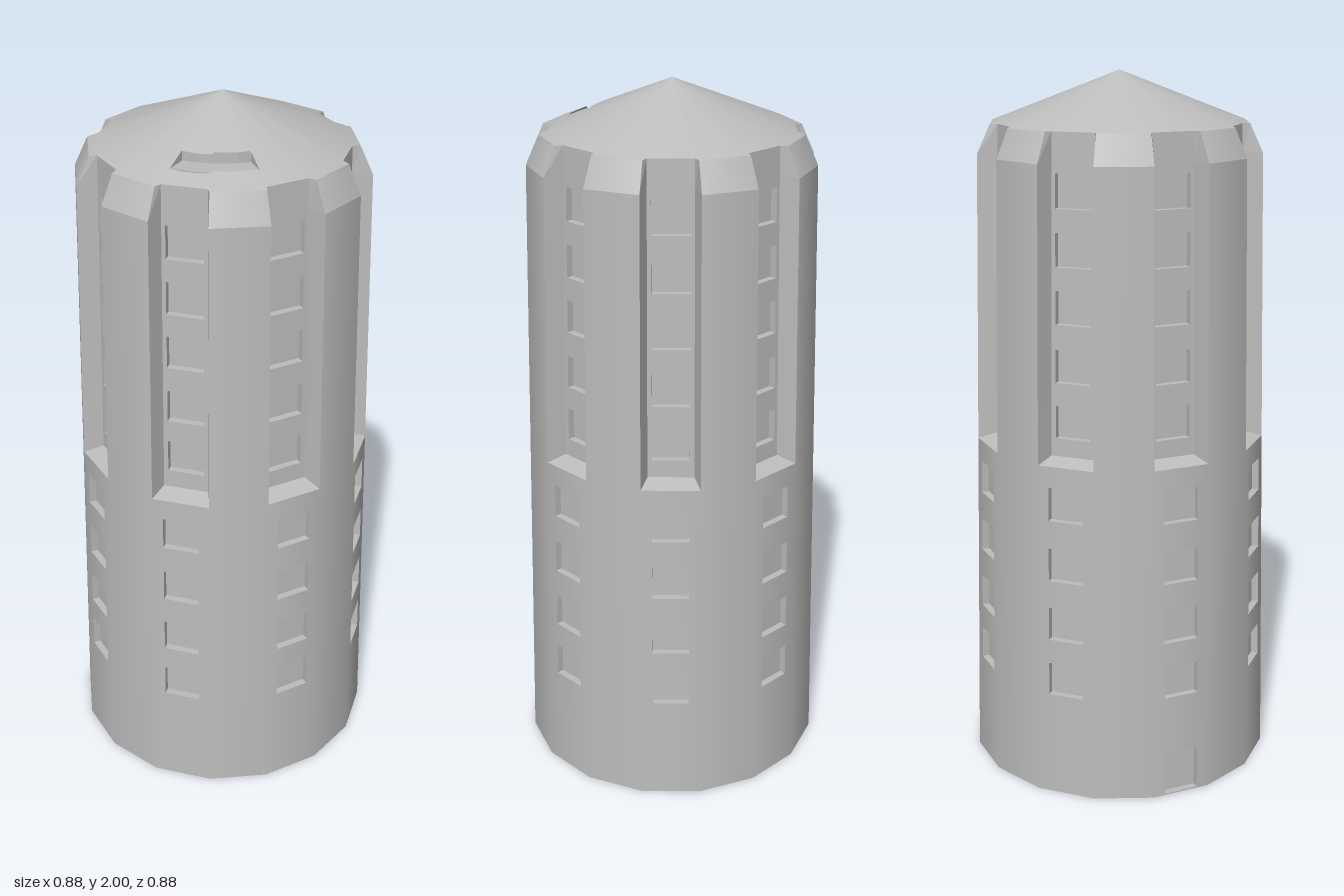
import * as THREE from 'three';

const SIDES = 16, STEP = Math.PI * 2 / SIDES, START = THREE.MathUtils.degToRad(1.3);
const SILL = 0.97, KNEE = 1.78, EAVE = 1.86, APEX = 2, EAVE_R = 0.363;
const WINDOW_HALF = 0.051, WINDOW_DEPTH = 0.02;
const lerp = THREE.MathUtils.lerp;

const polar = (a, r, y) => new THREE.Vector3(Math.sin(a) * r, y, Math.cos(a) * r);
// Point on a flat side: distance d from the axis, shifted u sideways
const onSide = (a, d, u, y) => new THREE.Vector3(
  Math.sin(a) * d + Math.cos(a) * u, y, Math.cos(a) * d - Math.sin(a) * u);

// Corner radius of the tower shaft, tapering, then chamfered to the eave
const radius = y => y <= KNEE ? lerp(0.438, 0.4, y / KNEE)
  : lerp(0.4, EAVE_R, (y - KNEE) / (EAVE - KNEE));
const shaft = {
  d: y => radius(y) * Math.cos(STEP / 2),
  half: y => radius(y) * Math.sin(STEP / 2),
};
// Back wall of a tall recessed bay
const bayT = y => (y - SILL) / (EAVE - SILL);
const bay = { d: y => lerp(0.356, 0.337, bayT(y)), half: y => lerp(0.064, 0.061, bayT(y)) };

// Collects quads; rise given = smooth radial normals tilted up, otherwise flat
class Surface {
  constructor() { this.pos = []; this.nor = []; }
  tri(a, b, c, rise) {
    const flat = b.clone().sub(a).cross(c.clone().sub(a));
    if (flat.length() < 1e-10) return;
    flat.normalize();
    const mid = Math.atan2(a.x + b.x + c.x, a.z + b.z + c.z);
    for (const p of [a, b, c]) {
      this.pos.push(p.x, p.y, p.z);
      let n = flat;
      if (rise !== undefined) {
        const t = Math.hypot(p.x, p.z) < 1e-6 ? mid : Math.atan2(p.x, p.z);
        n = polar(t, 1, rise).normalize();
      }
      this.nor.push(n.x, n.y, n.z);
    }
  }
  quad(a, b, c, d, rise) { this.tri(a, b, c, rise); this.tri(a, c, d, rise); }
  mesh(name, material) {
    const g = new THREE.BufferGeometry();
    g.setAttribute('position', new THREE.Float32BufferAttribute(this.pos, 3));
    g.setAttribute('normal', new THREE.Float32BufferAttribute(this.nor, 3));
    const m = new THREE.Mesh(g, material);
    m.name = name;
    return m;
  }
}

// Wall strip with a column of openings, each leading to a shallow recess
function windowedWall(wall, recess, a, form, y0, y1, openings, rise) {
  const P = (u, y, inset = 0) => onSide(a, form.d(y) - inset, u, y);
  const w = WINDOW_HALF;
  const strip = (lo, hi) => wall.quad(P(-w, lo), P(w, lo), P(w, hi), P(-w, hi), rise);
  wall.quad(P(-form.half(y0), y0), P(-w, y0), P(-w, y1), P(-form.half(y1), y1), rise);
  wall.quad(P(w, y0), P(form.half(y0), y0), P(form.half(y1), y1), P(w, y1), rise);
  let y = y0;
  for (const [lo, hi] of openings) {
    if (lo > y) strip(y, lo);
    const outer = [P(-w, lo), P(w, lo), P(w, hi), P(-w, hi)];
    const inner = [[-w, lo], [w, lo], [w, hi], [-w, hi]].map(([u, v]) => P(u, v, WINDOW_DEPTH));
    recess.quad(...inner);
    for (let i = 0; i < 4; i++) {
      const j = (i + 1) % 4;
      recess.quad(outer[i], outer[j], inner[j], inner[i]);
    }
    y = hi;
  }
  strip(y, y1);
}

// Conical roof with a curved, flat-floored slot cut into one flank
function buildRoof(roof, slot, rim) {
  const from = THREE.MathUtils.degToRad(-65.5), to = THREE.MathUtils.degToRad(-20);
  const inR = 0.226, outR = 0.29, rise = 2.5;
  const points = [];
  const nSlot = 10;
  const cuts = Array.from({ length: nSlot + 1 }, (_, i) => lerp(from, to, i / nSlot));
  rim.forEach((p, i) => {
    const q = rim[(i + 1) % rim.length];
    const a0 = Math.atan2(p.x, p.z), a1 = Math.atan2(q.x, q.z);
    points.push({ a: a0, r: Math.hypot(p.x, p.z) });
    for (const c of cuts) {
      if (c <= a0 + 1e-4 || c >= a1 - 1e-4) continue;
      // Where the ray at angle c meets the straight eave edge
      const s = Math.sin(c), k = Math.cos(c);
      const t = (p.x * k - p.z * s) / ((p.x - q.x) * k - (p.z - q.z) * s);
      points.push({ a: c, r: Math.hypot(lerp(p.x, q.x, t), lerp(p.z, q.z, t)) });
    }
  });
  points.sort((m, n) => m.a - n.a);
  const at = (p, r) => polar(p.a, r, APEX - (APEX - EAVE) * r / p.r);
  const floorY = APEX - (APEX - EAVE) * outR / 0.345;
  const floor = (p, r) => polar(p.a, r, floorY);
  const top = new THREE.Vector3(0, APEX, 0);
  points.forEach((p, i) => {
    const q = points[(i + 1) % points.length];
    if (p.a < from - 1e-4 || p.a > to - 1e-4) {
      roof.tri(at(p, p.r), at(q, q.r), top, rise);
      return;
    }
    roof.tri(at(p, inR), at(q, inR), top, rise);
    roof.quad(at(p, p.r), at(q, q.r), at(q, outR), at(p, outR), rise);
    slot.quad(floor(p, outR), floor(q, outR), floor(q, inR), floor(p, inR));
    slot.quad(floor(p, inR), floor(q, inR), at(q, inR), at(p, inR));
    if (Math.abs(p.a - from) < 1e-4)
      slot.quad(floor(p, outR), floor(p, inR), at(p, inR), at(p, outR));
    if (Math.abs(q.a - to) < 1e-4)
      slot.quad(floor(q, inR), floor(q, outR), at(q, outR), at(q, inR));
  });
}

export function createModel() {
  const group = new THREE.Group();
  const stone = new THREE.MeshStandardMaterial({ color: 0xbcbcbc });
  stone.name = 'grey stone';
  stone.side = THREE.DoubleSide;

  const [walls, chamfers, bays, jambs, windows, roof, slot, base] =
    Array.from({ length: 8 }, () => new Surface());
  const lower = [[0.3, 0.395], [0.465, 0.56], [0.64, 0.735], [0.815, 0.91]];
  const upper = [1.035, 1.19, 1.35, 1.505, 1.66].map(y => [y, y + 0.092]);
  const doorway = [0.004, 0.13];
  const rim = [];

  for (let i = 0; i < SIDES; i++) {
    const a0 = START + (i - 1) * STEP, a1 = a0 + STEP, a = a0 + STEP / 2;
    const L = y => polar(a0, radius(y), y), R = y => polar(a1, radius(y), y);
    base.tri(new THREE.Vector3(), R(0), L(0));

    if (i % 2) {
      // Plain pier with chamfered head
      walls.quad(L(0), R(0), R(SILL), L(SILL), 0.02);
      walls.quad(L(SILL), R(SILL), R(KNEE), L(KNEE), 0.02);
      chamfers.quad(L(KNEE), R(KNEE), R(EAVE), L(EAVE), 0.45);
      rim.push(L(EAVE), R(EAVE));
      continue;
    }
    // Lower windows, with one doorway at the back
    windowedWall(walls, windows, a, shaft, 0, SILL, i === 10 ? [doorway, ...lower] : lower, 0.02);
    // Recessed bay with upper windows
    const foot = SILL + 0.015;
    windowedWall(bays, windows, a, bay, foot, EAVE, upper);
    const l = y => onSide(a, bay.d(y), -bay.half(y), y);
    const r = y => onSide(a, bay.d(y), bay.half(y), y);
    jambs.quad(L(SILL), R(SILL), r(foot), l(foot));
    jambs.quad(L(SILL), l(foot), l(KNEE), L(KNEE));
    jambs.quad(L(KNEE), l(KNEE), l(EAVE), L(EAVE));
    jambs.quad(r(foot), R(SILL), R(KNEE), r(KNEE));
    jambs.quad(r(KNEE), R(KNEE), R(EAVE), r(EAVE));
    rim.push(l(EAVE), r(EAVE));
  }
  buildRoof(roof, slot, rim);

  group.add(
    walls.mesh('towerWalls', stone), chamfers.mesh('pierHeads', stone),
    bays.mesh('recessedBays', stone), jambs.mesh('baySidesAndSills', stone),
    windows.mesh('windowsAndDoor', stone), roof.mesh('roof', stone),
    slot.mesh('roofSlot', stone), base.mesh('base', stone));
  return group;
}
